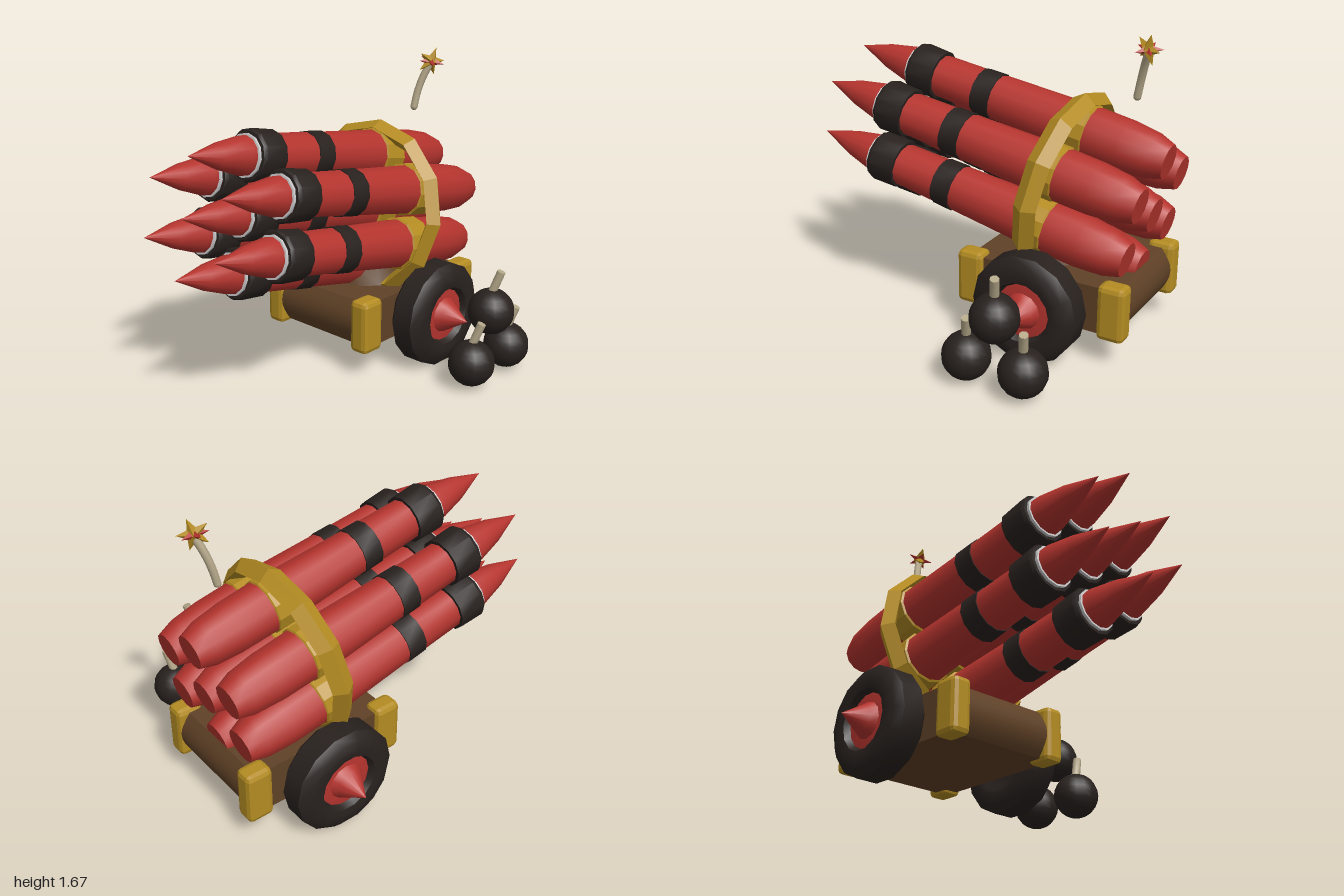
import * as THREE from 'three';
import { toCreasedNormals } from 'three/addons/utils/BufferGeometryUtils.js';
import { RoundedBoxGeometry } from 'three/addons/geometries/RoundedBoxGeometry.js';

const material = (color, flatShading = false) => new THREE.MeshStandardMaterial({ color, flatShading });
const red = material(0xb5342e);
const black = material(0x28211e);
const gold = material(0xb48c22, true);
const brown = material(0x5f4126);
const cord = material(0xb5a88a);
const white = material(0xcccccc);
const starRed = material(0xb5342e, true);

function add(parent, name, geometry, mat, x = 0, y = 0, z = 0) {
  const mesh = new THREE.Mesh(geometry, mat);
  mesh.name = name;
  mesh.position.set(x, y, z);
  parent.add(mesh);
  return mesh;
}

function group(parent, name, x = 0, y = 0, z = 0) {
  const g = new THREE.Group();
  g.name = name;
  g.position.set(x, y, z);
  parent.add(g);
  return g;
}

// Profile points are [radius, height], bottom to top
function lathe(points, sides = 12) {
  const profile = points.map(([r, h]) => new THREE.Vector2(r, h));
  return toCreasedNormals(new THREE.LatheGeometry(profile, sides), 0.62);
}

// Five-pointed star, raised in the middle on both faces
function star(outer, inner, depth) {
  const rim = [];
  for (let i = 0; i < 10; i++) {
    const a = Math.PI / 2 + (i * Math.PI) / 5;
    const r = i % 2 ? inner : outer;
    rim.push([r * Math.cos(a), r * Math.sin(a), 0]);
  }
  const positions = [];
  for (let i = 0; i < 10; i++) {
    const a = rim[i], b = rim[(i + 1) % 10];
    positions.push(...a, ...b, 0, 0, depth, ...b, ...a, 0, 0, -depth);
  }
  const g = new THREE.BufferGeometry();
  g.setAttribute('position', new THREE.Float32BufferAttribute(positions, 3));
  g.computeVertexNormals();
  return g;
}

function buildRockets(model) {
  const tilt = 0.184;
  const bundle = group(model, 'rocketBundle', -0.135, 1.08, 0.94);
  bundle.rotation.x = Math.PI / 2 - tilt;

  // Heights are measured back from the nose tip
  const parts = [
    ['rocketBody', red, lathe([[0, -1.9], [0.092, -1.9], [0.122, -1.81], [0.137, -1.66], [0.14, -1.45],
      [0.123, -0.9], [0.114, -0.5]])],
    ['goldBand', gold, lathe([[0.135, -1.475], [0.147, -1.465], [0.147, -1.33], [0.13, -1.32]])],
    ['middleBand', black, lathe([[0.115, -0.908], [0.129, -0.908], [0.126, -0.795], [0.11, -0.795]])],
    ['muzzleCollar', black, lathe([[0.1, -0.545], [0.133, -0.545], [0.139, -0.4], [0.13, -0.382], [0.1, -0.38]])],
    ['muzzleRing', white, lathe([[0.112, -0.39], [0.114, -0.366], [0.09, -0.364]])],
    ['noseCone', red, lathe([[0.104, -0.38], [0.102, -0.34], [0.068, -0.19], [0, 0]])],
  ];
  const slots = [[0, 0], [0, 0.305], [0, -0.305]];
  for (const side of [-0.263, 0.263]) slots.push([side, 0.152], [side, -0.152]);
  for (const [x, up] of slots) {
    const rocket = group(bundle, 'rocket', x, 0, -up);
    for (const [name, mat, geometry] of parts) add(rocket, name, geometry, mat);
  }

  // Hoop holding the bundle together
  const hoop = new THREE.TorusGeometry(0.463, 0.047, 4, 12);
  hoop.scale(1, 0.98, 1.35);
  hoop.rotateX(Math.PI / 2);
  add(bundle, 'bundleHoop', hoop, gold, 0, -1.39, 0);
}

function buildCart(model) {
  const cart = group(model, 'cart', -0.135, 0.31, -0.455);

  // Body with bulging front and back
  const s = new THREE.Shape();
  s.moveTo(-0.42, -0.13);
  s.lineTo(0.42, -0.13);
  s.quadraticCurveTo(0.53, 0, 0.42, 0.125);
  s.lineTo(-0.42, 0.125);
  s.quadraticCurveTo(-0.53, 0, -0.42, -0.13);
  const body = new THREE.ExtrudeGeometry(s, { depth: 0.69, bevelEnabled: false, curveSegments: 8 });
  body.rotateY(-Math.PI / 2);
  body.translate(0.345, 0, 0);
  add(cart, 'cartBody', toCreasedNormals(body, 0.5), brown);
  add(cart, 'cradle', lathe([[0.24, 0], [0.2, 0.1], [0.13, 0.13], [0, 0.13]]), brown, 0, 0.12, 0.05);

  // Corner posts
  const post = new RoundedBoxGeometry(0.115, 0.3, 0.15, 1, 0.028);
  for (const x of [-0.318, 0.318])
    for (const z of [-0.41, 0.41]) add(cart, 'cornerPost', post, gold, x, 0, z);

  // Wheels with spiked hubs
  const tyre = lathe([[0, -0.08], [0.14, -0.08], [0.17, -0.1], [0.2, -0.105], [0.255, -0.095], [0.295, -0.06],
    [0.295, 0.06], [0.255, 0.095], [0.2, 0.105], [0.165, 0.098], [0.14, 0.05]], 14);
  const hub = lathe([[0.15, 0.04], [0.15, 0.065], [0.11, 0.07], [0, 0.07]], 14);
  const spike = lathe([[0.115, 0.045], [0.076, 0.105], [0, 0.226]]);
  for (const g of [tyre, hub, spike]) g.rotateZ(-Math.PI / 2);
  for (const side of [1, -1]) {
    const wheel = group(cart, side > 0 ? 'leftWheel' : 'rightWheel', side * 0.463, -0.01, -0.005);
    wheel.rotation.y = side > 0 ? 0 : Math.PI;
    add(wheel, 'tyre', tyre, black);
    add(wheel, 'hub', hub, red);
    add(wheel, 'hubSpike', spike, red);
  }
}

function buildBombs(model) {
  const ball = new THREE.SphereGeometry(0.126, 16, 12);
  const fuse = toCreasedNormals(new THREE.CylinderGeometry(0.024, 0.024, 0.13, 8), 0.9);
  for (const [y, z] of [[0.405, -0.475], [0.155, -0.315], [0.155, -0.635]]) {
    const bomb = group(model, 'bomb', 0.695, y, z);
    add(bomb, 'bombBall', ball, black);
    const stick = add(bomb, 'bombFuse', fuse, cord, 0.02, 0.168, -0.012);
    stick.rotation.set(-0.18, 0, -0.3);
  }
}

function buildFuse(model) {
  const path = new THREE.CatmullRomCurve3([
    new THREE.Vector3(-0.128, 1.345, -0.802),
    new THREE.Vector3(-0.12, 1.43, -0.82),
    new THREE.Vector3(-0.1, 1.52, -0.845),
    new THREE.Vector3(-0.07, 1.6, -0.875),
  ]);
  add(model, 'mainFuse', new THREE.TubeGeometry(path, 8, 0.021, 8), cord);
  add(model, 'fuseEnd', new THREE.SphereGeometry(0.021, 8, 6), cord, -0.128, 1.345, -0.802);

  // Crossed stars form the spark
  const spark = group(model, 'spark', -0.068, 1.607, -0.872);
  spark.rotation.set(-0.25, 0, -0.25);
  const upright = add(spark, 'goldStar', star(0.082, 0.036, 0.035), gold);
  upright.rotation.y = 1.15;
  const flat = add(spark, 'redStar', star(0.076, 0.03, 0.025), starRed);
  flat.rotation.set(-1.35, 0, 0.3);
}

export function createModel() {
  const model = new THREE.Group();
  model.name = 'rocketCart';
  buildRockets(model);
  buildCart(model);
  buildBombs(model);
  buildFuse(model);
  return model;
}
